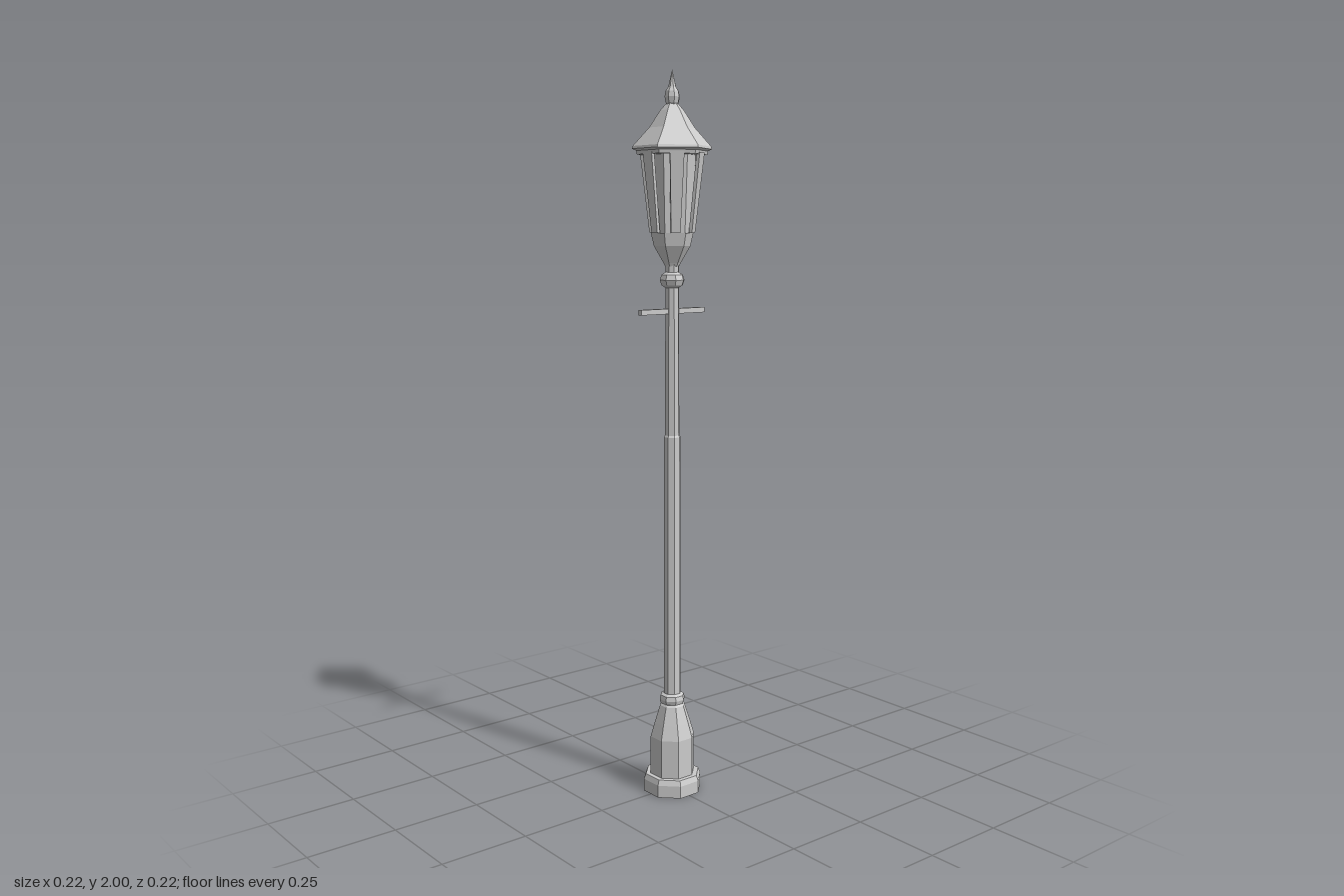
import * as THREE from 'three';

const grey = new THREE.MeshStandardMaterial({ color: 0xcccccc, flatShading: true, side: THREE.DoubleSide });

export function createModel() {
  const model = new THREE.Group();

  const add = (name, geometry, parent = model) => {
    const mesh = new THREE.Mesh(geometry, grey);
    mesh.name = name;
    parent.add(mesh);
    return mesh;
  };

  // Faceted turned part: profile of [radius, height], listed bottom to top
  const turned = (name, sides, profile, start = 0) =>
    add(name, new THREE.LatheGeometry(profile.map(([r, y]) => new THREE.Vector2(r, y)), sides, start));
  const octagon = (name, profile) => turned(name, 8, profile, Math.PI / 8);
  const hexagon = (name, profile) => turned(name, 6, profile);

  // Foot and post
  octagon('plinth', [[0, 0], [0.084, 0], [0.084, 0.035], [0.078, 0.05], [0.063, 0.05]]);
  octagon('pedestal', [[0.064, 0.05], [0.064, 0.16], [0.052, 0.2], [0.036, 0.25], [0.028, 0.26]]);
  octagon('lowerCollar', [[0.024, 0.252], [0.034, 0.257], [0.037, 0.268], [0.034, 0.28], [0.024, 0.286]]);
  octagon('post', [[0.025, 0.26], [0.0245, 0.63], [0.0235, 1.02], [0.0205, 1.025], [0.019, 1.5]]);
  octagon('upperCollar', [[0.019, 1.428], [0.03, 1.435], [0.035, 1.449], [0.03, 1.463], [0.019, 1.47]]);

  // Ladder rest
  add('crossbar', new THREE.BoxGeometry(0.22, 0.014, 0.014)).position.y = 1.365;

  // Lantern body
  hexagon('lanternCup', [[0.019, 1.485], [0.024, 1.495], [0.05, 1.54], [0.058, 1.575], [0, 1.575]]);
  hexagon('lanternCore', [[0.054, 1.575], [0.064, 1.785]]);

  // Six slanted plates, narrower at the foot, one below each roof face
  const bottom = { y: 1.575, r: 0.061, w: 0.025 };
  const top = { y: 1.785, r: 0.085, w: 0.038 };
  const plates = new THREE.Group();
  plates.name = 'lanternPlates';
  model.add(plates);
  for (let i = 0; i < 6; i++) {
    const geometry = new THREE.BoxGeometry(0.009, 1, 1);
    const p = geometry.attributes.position;
    for (let k = 0; k < p.count; k++) {
      const end = p.getY(k) > 0 ? top : bottom;
      p.setXYZ(k, end.r + p.getX(k) - 0.0045, end.y, p.getZ(k) * end.w);
    }
    add('lanternPlate', geometry, plates).rotation.y = i * Math.PI / 3;
  }

  // Roof and finial
  hexagon('roof', [
    [0, 1.78], [0.095, 1.78], [0.097, 1.79], [0.108, 1.795], [0.106, 1.802],
    [0.062, 1.85], [0.032, 1.895], [0.014, 1.915],
  ]);
  octagon('finial', [
    [0.012, 1.9], [0.018, 1.915], [0.021, 1.93], [0.018, 1.945], [0.011, 1.955], [0, 2],
  ]);

  return model;
}
